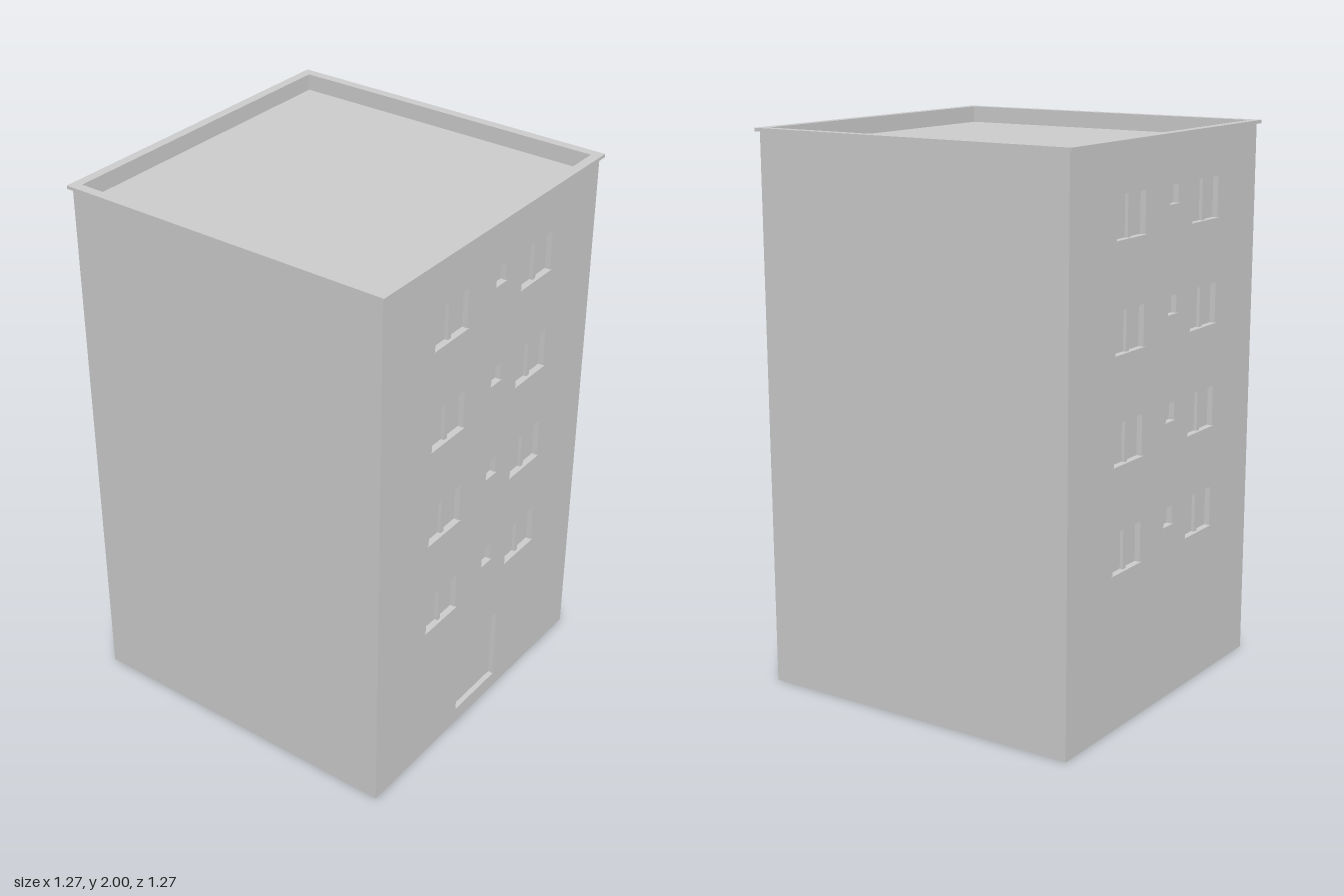
import * as THREE from 'three';

const W = 0.622;        // half width of the walls
const REVEAL = 0.02;    // depth of window and door recesses
const FLOOR = 0.055, ROOF = 1.94, TOP = 2;
const STOREY = 0.374;

const grey = new THREE.MeshStandardMaterial({ color: 0xcccccc });

function add(parent, name, geometry, x = 0, y = 0, z = 0) {
  const mesh = new THREE.Mesh(geometry, grey);
  mesh.name = name;
  mesh.position.set(x, y, z);
  parent.add(mesh);
  return mesh;
}

// Rectangular outline, usable as shape or hole
function rect(Type, x0, y0, x1, y1) {
  const r = new Type();
  r.moveTo(x0, y0);
  r.lineTo(x1, y0);
  r.lineTo(x1, y1);
  r.lineTo(x0, y1);
  r.closePath();
  return r;
}

// Square horizontal ring between two heights
function ring(outer, inner, y0, y1) {
  const shape = rect(THREE.Shape, -outer, -outer, outer, outer);
  shape.holes.push(rect(THREE.Path, -inner, -inner, inner, inner));
  return new THREE.ExtrudeGeometry(shape, { depth: y1 - y0, bevelEnabled: false })
    .rotateX(-Math.PI / 2)
    .translate(0, y0, 0);
}

// Outer wall layer with recessed windows, sills and an optional door
function facade(name, hasDoor) {
  const group = new THREE.Group();
  group.name = name;
  const wall = rect(THREE.Shape, -W, FLOOR, W, ROOF);

  for (let i = 0; i < 4; i++) {
    const head = 0.705 + i * STOREY;
    const openings = [
      { x: -0.25, w: 0.18, h: 0.145, mullion: true },
      { x: 0.03, w: 0.055, h: 0.065, mullion: false },
      { x: 0.25, w: 0.18, h: 0.145, mullion: true },
    ];
    for (const { x, w, h, mullion } of openings) {
      const sillY = head - h;
      wall.holes.push(rect(THREE.Path, x - w / 2, sillY, x + w / 2, head));
      add(group, 'windowSill', new THREE.BoxGeometry(w + 0.01, 0.005, 0.008), x, sillY - 0.0025, W);
      if (mullion) {
        add(group, 'windowMullion', new THREE.BoxGeometry(0.018, h, 0.012), x, sillY + h / 2, W - REVEAL + 0.006);
      }
    }
  }
  if (hasDoor) wall.holes.push(rect(THREE.Path, -0.125, 0.06, 0.125, 0.35));

  const geometry = new THREE.ExtrudeGeometry(wall, { depth: REVEAL, bevelEnabled: false });
  add(group, 'facadeWall', geometry, 0, 0, W - REVEAL);
  return group;
}

export function createModel() {
  const model = new THREE.Group();
  model.name = 'apartmentBlock';

  // Core: side walls, roof deck, ground slab and the window and door panes
  add(model, 'core', new THREE.BoxGeometry(2 * W, ROOF - FLOOR, 2 * (W - REVEAL)), 0, (ROOF + FLOOR) / 2, 0);

  // Front and back layers, the back turned half round
  model.add(facade('frontFacade', true));
  const back = facade('backFacade', false);
  back.rotation.y = Math.PI;
  model.add(back);

  // Thin skirt around the raised slab, parapet and its projecting cap
  add(model, 'baseSkirt', ring(W, W - 0.003, 0, FLOOR));
  add(model, 'parapet', ring(W, 0.6, ROOF, TOP - 0.012));
  add(model, 'parapetCap', ring(0.635, 0.6, TOP - 0.012, TOP));

  return model;
}
